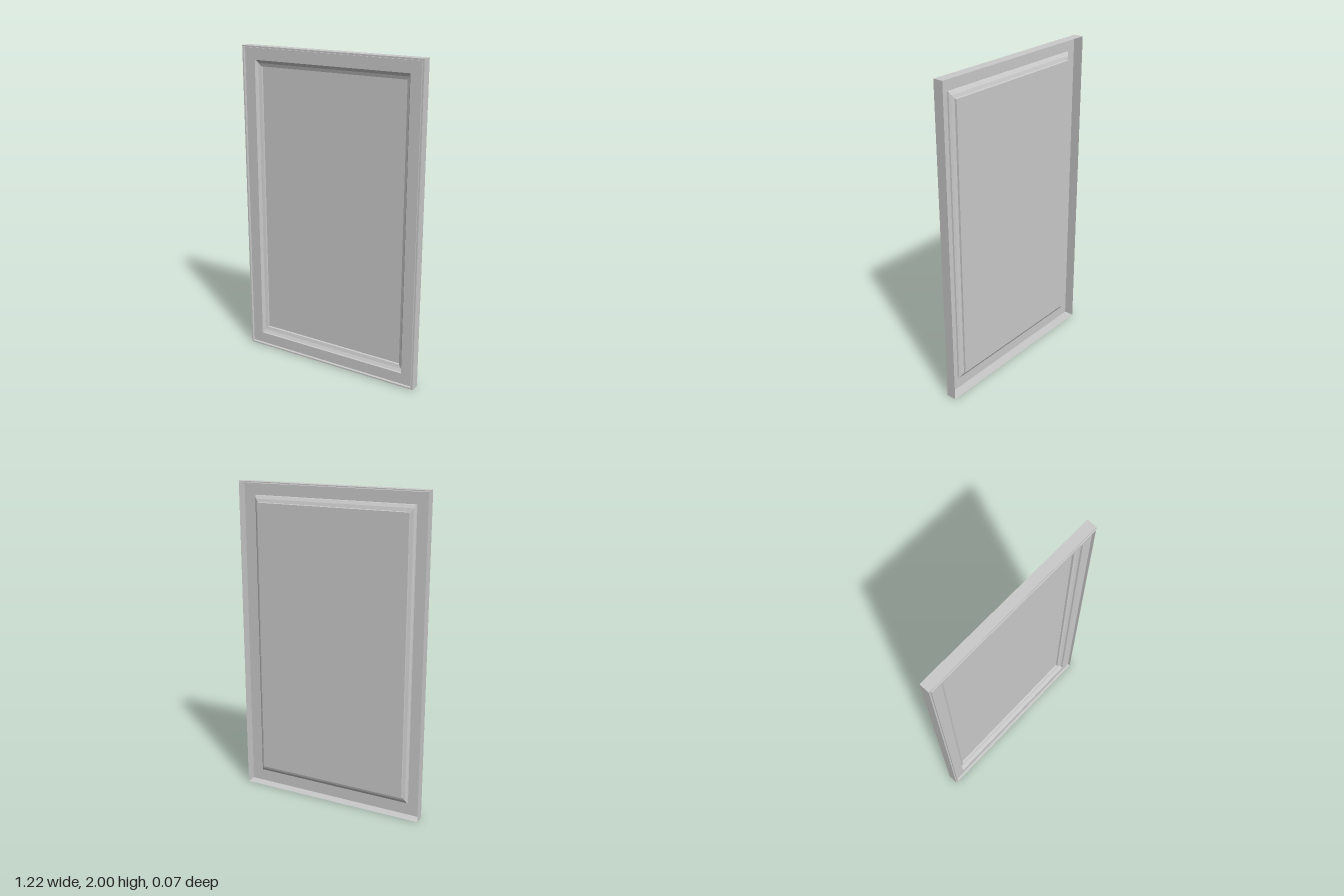
import * as THREE from 'three';

const HALF_W = 0.61, HALF_H = 1;

// Mitred rectangular band swept along a profile of [inset x, inset y, z]
function band(name, profile, material) {
  const corners = ([ix, iy, z]) => {
    const x = HALF_W - ix, y = HALF_H - iy;
    return [[-x, 1 - y, z], [x, 1 - y, z], [x, 1 + y, z], [-x, 1 + y, z]];
  };
  const pos = [];
  for (let i = 0; i < profile.length - 1; i++) {
    const outer = corners(profile[i]), inner = corners(profile[i + 1]);
    for (let k = 0; k < 4; k++) {
      const n = (k + 1) % 4;
      pos.push(...outer[k], ...outer[n], ...inner[n], ...outer[k], ...inner[n], ...inner[k]);
    }
  }
  const geometry = new THREE.BufferGeometry();
  geometry.setAttribute('position', new THREE.Float32BufferAttribute(pos, 3));
  geometry.computeVertexNormals();
  const mesh = new THREE.Mesh(geometry, material);
  mesh.name = name;
  return mesh;
}

export function createModel() {
  const group = new THREE.Group();
  group.name = 'framedPanel';
  const material = new THREE.MeshStandardMaterial({
    color: 0xcccccc, flatShading: true, side: THREE.DoubleSide,
  });

  // Open-backed shell: side walls and the narrow front ledge
  group.add(band('sideWalls', [
    [0, 0, -0.036], [0, 0, 0.027], [0.01, 0.01, 0.027],
  ], material));

  // Thin raised bead around the frame, dropping to the face
  group.add(band('rimBead', [
    [0.01, 0.01, 0.027], [0.01, 0.01, 0.034], [0.014, 0.014, 0.034], [0.015, 0.015, 0.018],
  ], material));

  // Flat border of the frame
  group.add(band('frameFace', [[0.015, 0.015, 0.018], [0.085, 0.085, 0.018]], material));

  // Two-step moulding with a sloped ledge down to the panel
  group.add(band('moulding', [
    [0.085, 0.085, 0.018], [0.087, 0.087, 0.008], [0.097, 0.105, -0.002],
    [0.114, 0.125, -0.008], [0.116, 0.127, -0.02],
  ], material));

  // Recessed centre panel
  const panel = new THREE.Mesh(
    new THREE.PlaneGeometry(2 * (HALF_W - 0.116), 2 * (HALF_H - 0.127)), material);
  panel.position.set(0, 1, -0.02);
  panel.name = 'centrePanel';
  group.add(panel);

  return group;
}
